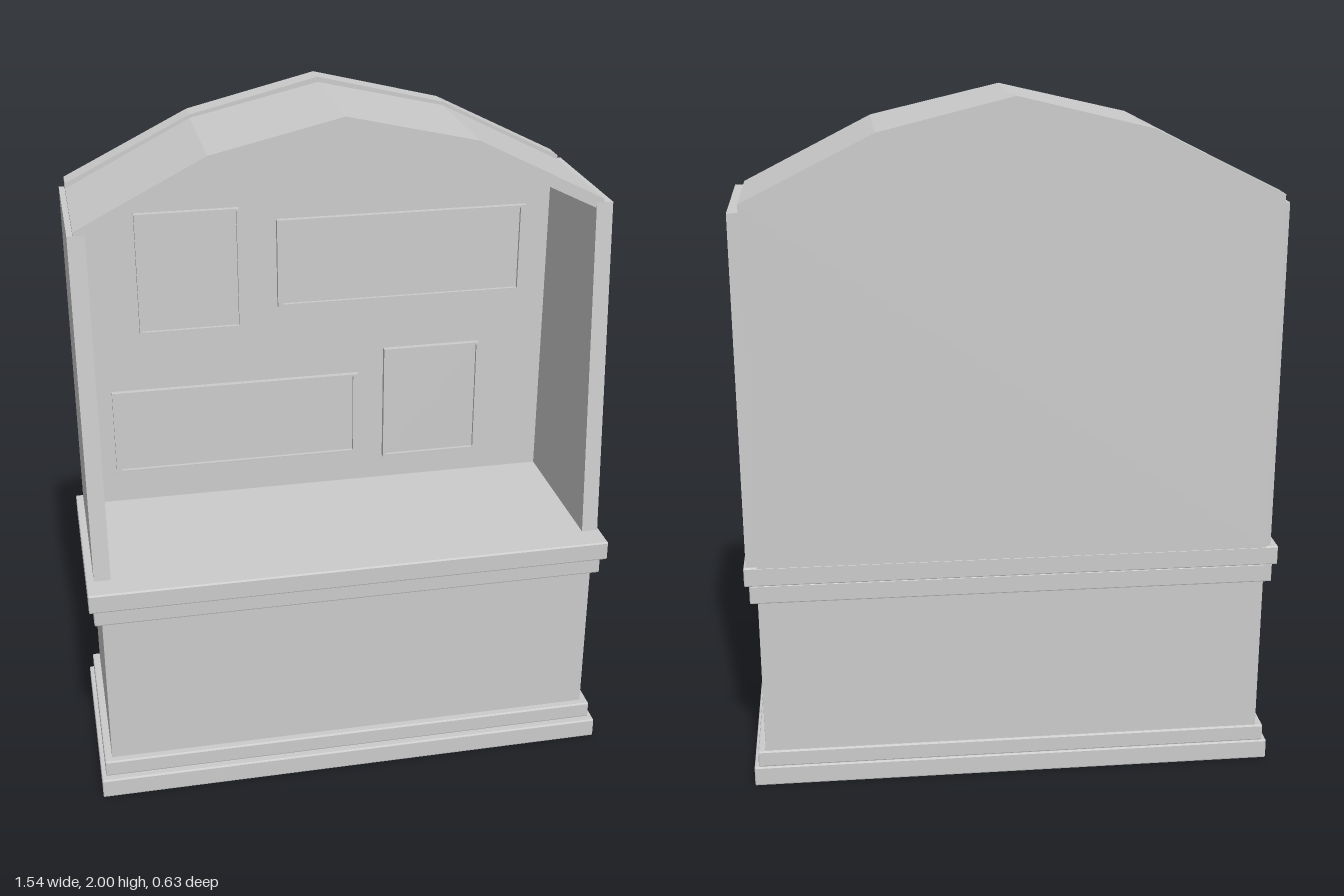
import * as THREE from 'three';
import { RoundedBoxGeometry } from 'three/addons/geometries/RoundedBoxGeometry.js';

export function createModel() {
  const model = new THREE.Group();
  const material = new THREE.MeshStandardMaterial({ color: 0xcccccc, flatShading: true });

  const add = (name, geometry, parent = model) => {
    const mesh = new THREE.Mesh(geometry, material);
    mesh.name = name;
    parent.add(mesh);
    return mesh;
  };

  // Box given by its limits, with slightly eased edges
  const slab = (name, x0, x1, y0, y1, z0, z1, ease = 0.004) => {
    const mesh = add(name, new RoundedBoxGeometry(x1 - x0, y1 - y0, z1 - z0, 1, ease));
    mesh.position.set((x0 + x1) / 2, (y0 + y1) / 2, (z0 + z1) / 2);
  };

  const outline = (points) => new THREE.Shape(points.map(([x, y]) => new THREE.Vector2(x, y)));
  const extrude = (shape, depth) => new THREE.ExtrudeGeometry(shape, { depth, bevelEnabled: false });

  // Stepped lower cabinet, from the floor up
  slab('plinth', -0.77, 0.77, 0, 0.06, -0.3, 0.315);
  slab('plinthStep', -0.757, 0.757, 0.06, 0.11, -0.297, 0.293);
  slab('cabinetBody', -0.735, 0.735, 0.1, 0.59, -0.29, 0.27, 0.001);
  slab('counterMoulding', -0.757, 0.757, 0.585, 0.642, -0.3, 0.288);
  slab('counterTop', -0.77, 0.77, 0.642, 0.7, -0.308, 0.31);

  // Arched back board
  const backOutline = outline([
    [-0.732, 0.7], [0.732, 0.7], [0.732, 1.73], [0.37, 1.91],
    [0, 2], [-0.37, 1.91], [-0.732, 1.73],
  ]);
  add('backBoard', extrude(backOutline, 0.07)).position.z = -0.315;

  // Faceted canopy, open underneath
  const canopyOutline = outline([
    [-0.732, 1.715], [-0.37, 1.9], [0, 1.985], [0.37, 1.9], [0.737, 1.715],
    [0.737, 1.69], [0.715, 1.69], [0.37, 1.86], [0, 1.947], [-0.37, 1.86], [-0.7, 1.69], [-0.732, 1.69],
  ].reverse());
  add('canopy', extrude(canopyOutline, 0.4)).position.z = -0.25;

  // Tapered side boards: profile drawn in (-z, y), then turned to face sideways
  const sideOutline = outline([[-0.23, 0.7], [0.302, 0.7], [0.302, 1.705], [-0.15, 1.705]]);
  for (const [name, x] of [['leftSide', 0.715], ['rightSide', -0.748]]) {
    const side = add(name, extrude(sideOutline, 0.048));
    side.rotation.y = Math.PI / 2;
    side.position.x = x;
  }

  // Framed panels on the back board: x0, x1, y0, y1, rim width at the sides
  const panels = [
    [-0.545, -0.238, 1.258, 1.63, 0.008],
    [-0.127, 0.638, 1.315, 1.586, 0.017],
    [-0.64, 0.122, 0.805, 1.073, 0.017],
    [0.203, 0.507, 0.778, 1.148, 0.008],
  ];
  for (const [x0, x1, y0, y1, rim] of panels) {
    const panel = new THREE.Group();
    panel.name = 'framedPanel';
    model.add(panel);
    const frame = outline([[x0, y0], [x1, y0], [x1, y1], [x0, y1]]);
    const a = x0 + rim, b = x1 - rim, c = y0 + 0.007, d = y1 - 0.007;
    frame.holes.push(outline([[a, c], [a, d], [b, d], [b, c]]));
    add('frame', extrude(frame, 0.018), panel).position.z = -0.246;
    add('panelFace', new THREE.BoxGeometry(b - a, d - c, 0.008), panel)
      .position.set((a + b) / 2, (c + d) / 2, -0.242);
  }

  return model;
}
